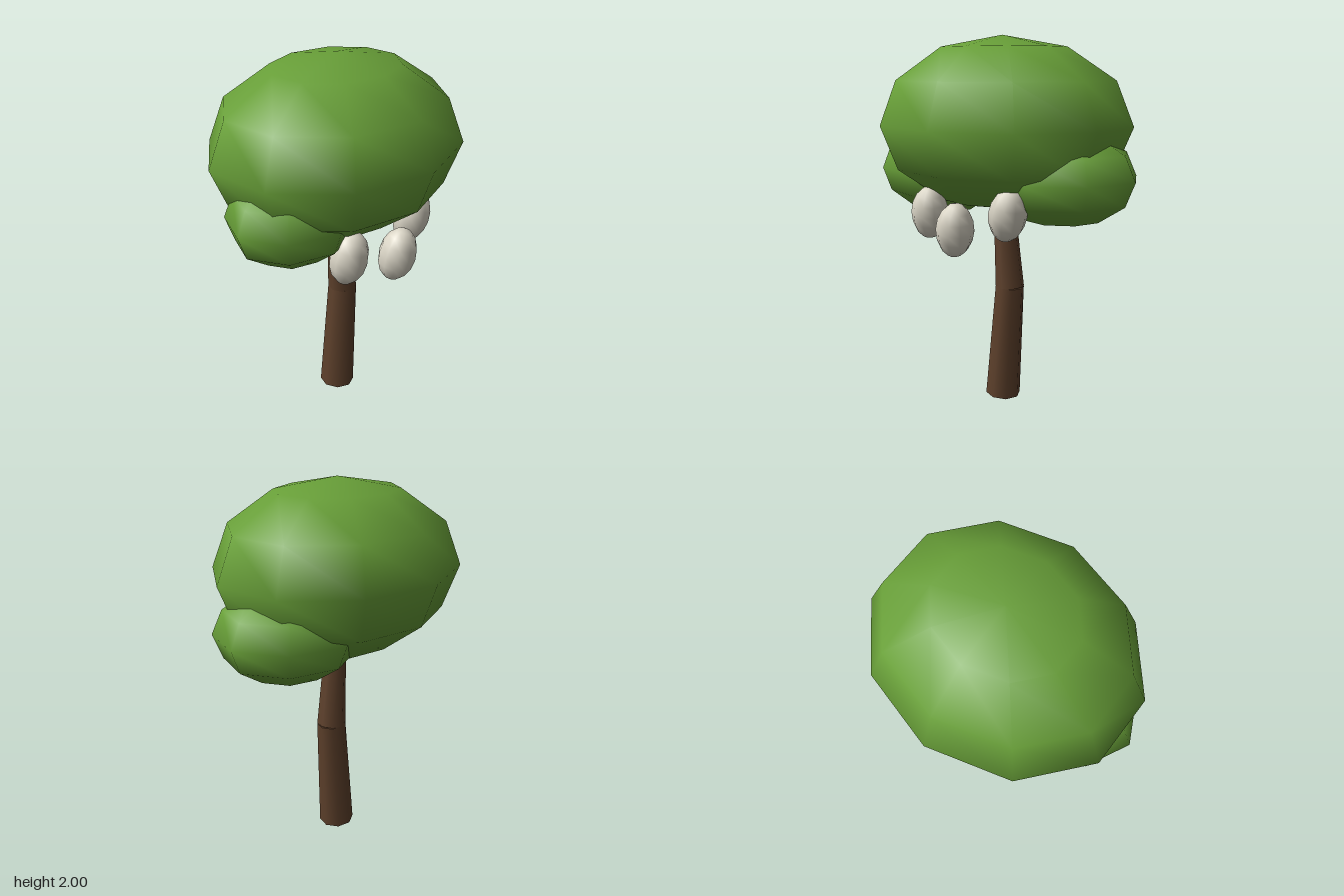
import * as THREE from 'three';

function material(name, color) {
  const m = new THREE.MeshStandardMaterial({ color });
  m.name = name;
  return m;
}

export function createModel() {
  const group = new THREE.Group();
  const leaf = material('leaf green', 0x689f38);
  const bark = material('bark brown', 0x5d402b);
  const shell = material('pod ivory', 0xdad5c6);

  // Smooth low-poly ellipsoid
  function ellipsoid(name, mat, sides, rings, radii, position, rotation = [0, 0, 0]) {
    const mesh = new THREE.Mesh(new THREE.SphereGeometry(1, sides, rings), mat);
    mesh.name = name;
    mesh.scale.set(...radii);
    mesh.position.set(...position);
    mesh.rotation.set(...rotation);
    group.add(mesh);
    return mesh;
  }

  // Tapered trunk piece between two points
  function trunkPiece(name, from, to, rBottom, rTop) {
    const a = new THREE.Vector3(...from);
    const b = new THREE.Vector3(...to);
    const dir = b.clone().sub(a);
    const mesh = new THREE.Mesh(new THREE.CylinderGeometry(rTop, rBottom, dir.length(), 8), bark);
    mesh.name = name;
    mesh.position.copy(a).add(b).multiplyScalar(0.5);
    mesh.quaternion.setFromUnitVectors(new THREE.Vector3(0, 1, 0), dir.normalize());
    group.add(mesh);
  }

  // Bent trunk
  trunkPiece('lowerTrunk', [-0.027, 0.008, 0], [0.02, 0.65, 0], 0.097, 0.079);
  trunkPiece('upperTrunk', [0.02, 0.645, 0], [-0.025, 1.2, 0], 0.079, 0.054);

  // Main crown, with its ten sides turned so that corners point front and back
  const crown = ellipsoid('crown', leaf, 10, 6, [0.715, 0.46, 0.61], [-0.03, 1.54, 0]);
  crown.geometry.rotateY(Math.PI / 2);

  // Side clumps of leaves
  ellipsoid('leftClump', leaf, 8, 6, [0.41, 0.25, 0.36], [0.35, 1.28, 0], [0, 0, 0.025]);
  ellipsoid('rightClump', leaf, 8, 6, [0.37, 0.25, 0.31], [-0.395, 1.28, 0.05], [0, 0, -0.02]);

  // Hanging pods
  const pods = [
    [[-0.283, 1.08, 0.31], -0.15],
    [[-0.027, 1.033, 0.415], -0.18],
    [[0.225, 1.123, 0.31], -0.28],
  ];
  for (const [position, lean] of pods) {
    ellipsoid('pod', shell, 10, 8, [0.098, 0.145, 0.098], position, [0.15, 0, lean]);
  }

  return group;
}
